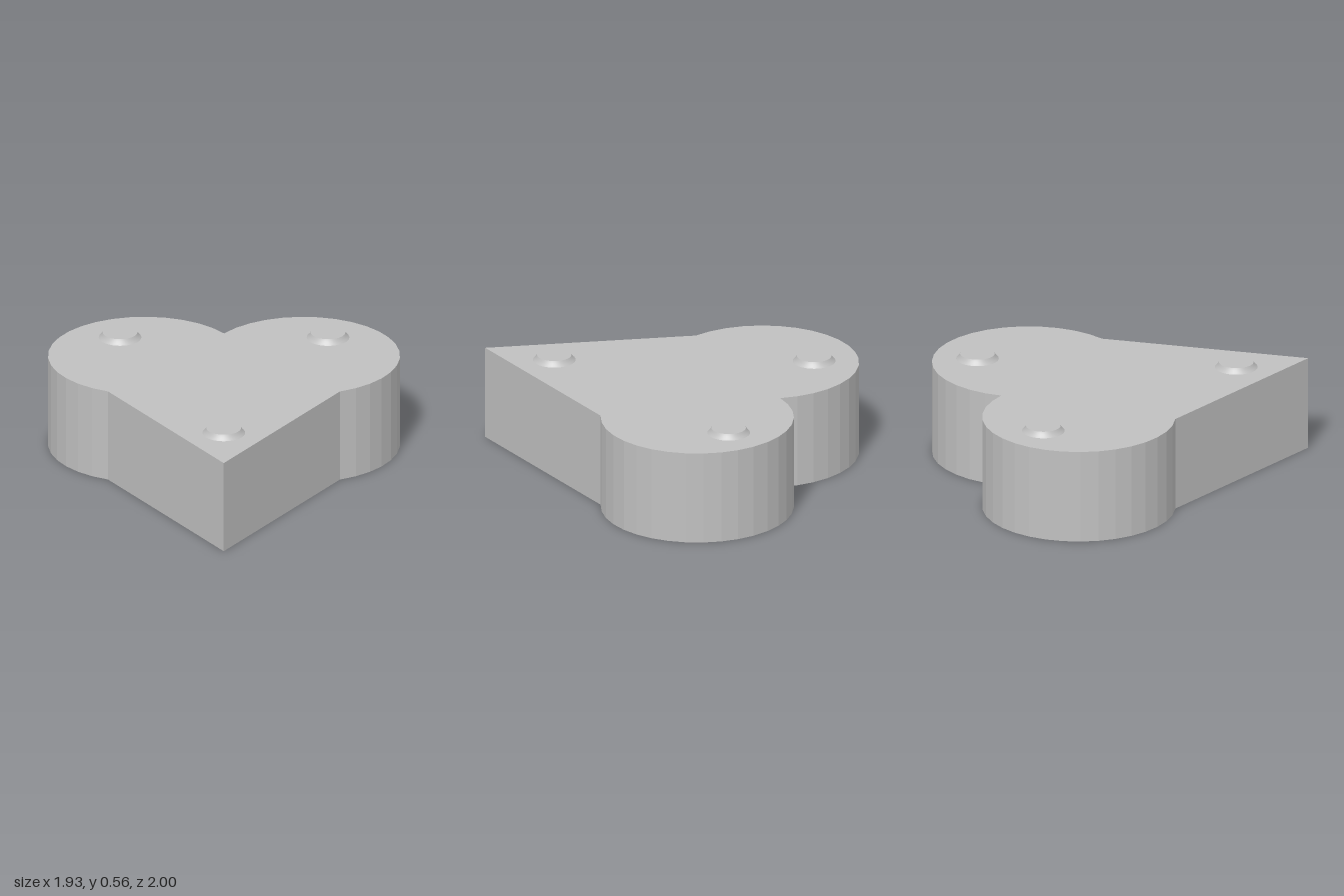
import * as THREE from 'three';

const BODY_HEIGHT = 0.527;

// Heart outline: pointed tip, straight flanks and two faceted round lobes
function heartShape() {
  const cx = 0.435, cy = 0.47, r = 0.53, steps = 20;
  const start = -1.183, end = Math.PI - Math.asin(0.303 / r);
  const half = [];
  for (let i = 0; i <= steps; i++) {
    const a = start + (end - start) * i / steps;
    half.push(new THREE.Vector2(cx + r * Math.cos(a), cy + r * Math.sin(a)));
  }
  half[steps].x = 0; // cleft lies on the centre line
  const mirrored = half.slice(0, steps).reverse().map(p => new THREE.Vector2(-p.x, p.y));
  return new THREE.Shape([new THREE.Vector2(0, -1), ...half, ...mirrored]);
}

export function createModel() {
  const model = new THREE.Group();
  model.name = 'heartBlock';

  const grey = new THREE.MeshStandardMaterial({ color: 0xc0c0c0 });
  grey.name = 'light grey';

  // Body
  const bodyGeo = new THREE.ExtrudeGeometry(heartShape(), { depth: BODY_HEIGHT, bevelEnabled: false });
  bodyGeo.rotateX(-Math.PI / 2);
  const body = new THREE.Mesh(bodyGeo, grey);
  body.name = 'heartBody';
  model.add(body);

  // Low studs with a flared rim and a flat cap
  const profile = [[0.117, 0], [0.109, 0.008], [0.101, 0.018], [0.095, 0.03]]
    .map(([x, y]) => new THREE.Vector2(x, y));
  const rimGeo = new THREE.LatheGeometry(profile, 40);
  const capGeo = new THREE.CircleGeometry(0.095, 40).rotateX(-Math.PI / 2).translate(0, 0.03, 0);

  const studs = { studBackLeft: [0.57, -0.72], studBackRight: [-0.57, -0.72], studTip: [0, 0.585] };
  for (const [name, [x, z]] of Object.entries(studs)) {
    const stud = new THREE.Group();
    stud.name = name;
    const rim = new THREE.Mesh(rimGeo, grey);
    rim.name = 'studRim';
    const cap = new THREE.Mesh(capGeo, grey);
    cap.name = 'studCap';
    stud.add(rim, cap);
    stud.position.set(x, BODY_HEIGHT, z);
    model.add(stud);
  }
  return model;
}
